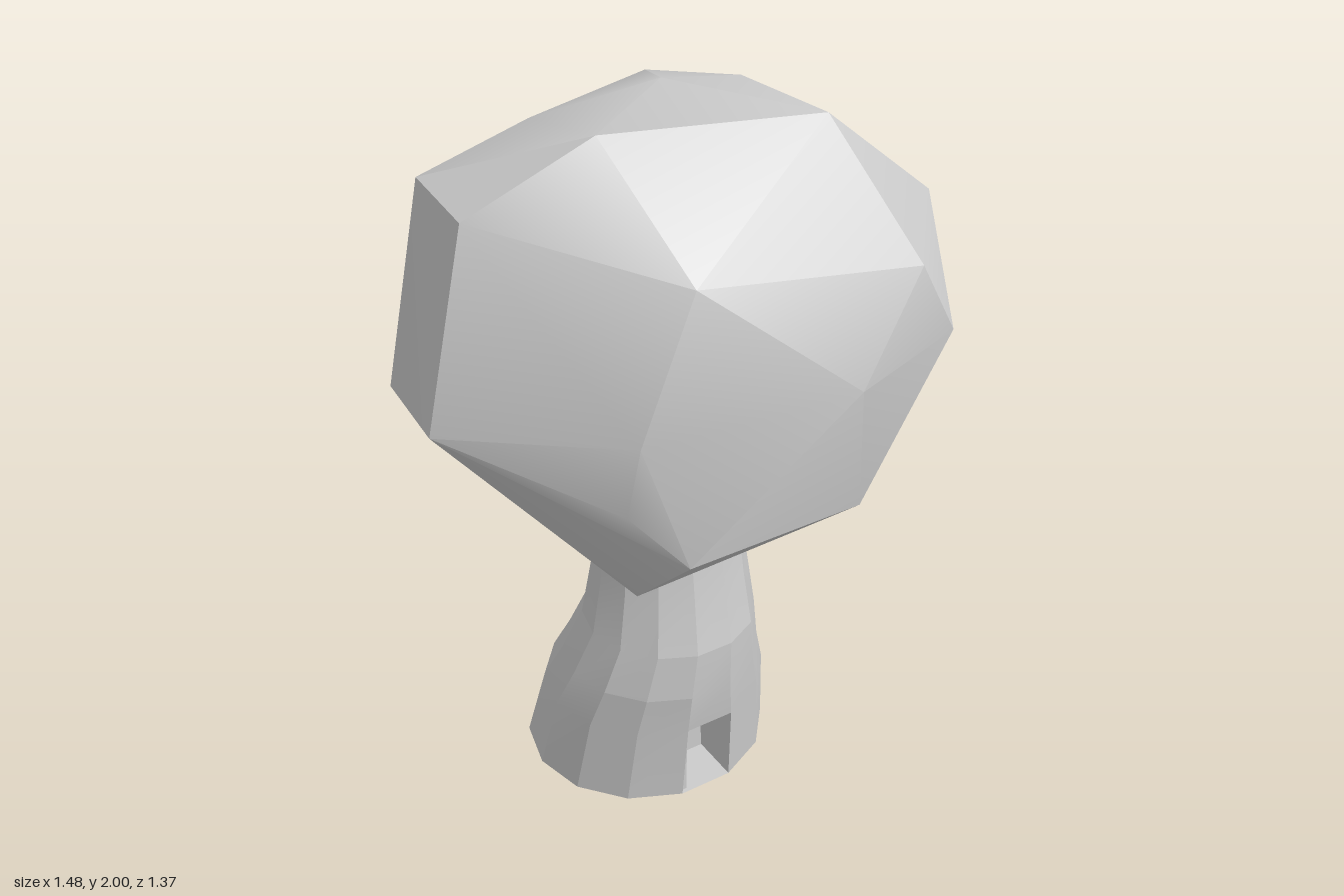
import * as THREE from 'three';
import { ConvexGeometry } from 'three/addons/geometries/ConvexGeometry.js';
import { toCreasedNormals } from 'three/addons/utils/BufferGeometryUtils.js';

const material = new THREE.MeshStandardMaterial({ color: 0xcccccc });
const V = (x, y, z) => new THREE.Vector3(x, y, z);

function part(name, geometry, crease = 0.15) {
  const mesh = new THREE.Mesh(toCreasedNormals(geometry, crease), material);
  mesh.name = name;
  return mesh;
}

// Skin a list of equal-length rings; skip(band, segment) leaves a hole.
function loft(rings, capStart, capEnd, skip = () => false) {
  const pos = [];
  const tri = (...pts) => pts.forEach((p) => pos.push(p.x, p.y, p.z));
  const n = rings[0].length;
  for (let b = 0; b < rings.length - 1; b++) {
    for (let i = 0; i < n; i++) {
      if (skip(b, i)) continue;
      const j = (i + 1) % n, p = rings[b], q = rings[b + 1];
      tri(p[i], p[j], q[j]);
      tri(p[i], q[j], q[i]);
    }
  }
  const last = rings[rings.length - 1];
  for (let i = 1; i < n - 1; i++) {
    if (capStart) tri(rings[0][0], rings[0][i + 1], rings[0][i]);
    if (capEnd) tri(last[0], last[i], last[i + 1]);
  }
  const g = new THREE.BufferGeometry();
  g.setAttribute('position', new THREE.Float32BufferAttribute(pos, 3));
  return g;
}

// Faceted foliage: convex hull of a few corner points.
const foliage = (name, pts) =>
  part(name, new ConvexGeometry(pts.map((p) => V(...p))), 0.5);

export function createModel() {
  const tree = new THREE.Group();
  tree.name = 'treeHouse';

  // Leaning trunk: y, centre x, centre z, radius x, radius z
  const SIDES = 14;
  const trunkRings = [
    [0, -0.025, -0.035, 0.353, 0.336],
    [0.25, -0.03, 0.02, 0.319, 0.302],
    [0.38, -0.04, 0.07, 0.278, 0.27],
    [0.52, -0.033, 0.102, 0.24, 0.238],
    [0.68, -0.028, 0.097, 0.215, 0.207],
    [0.82, -0.03, 0.09, 0.203, 0.195],
    [0.95, -0.03, 0.08, 0.2, 0.19],
  ].map(([y, cx, cz, rx, rz]) =>
    Array.from({ length: SIDES }, (_, i) => {
      const a = ((i - 0.5) / SIDES) * Math.PI * 2;
      return V(cx + rx * Math.sin(a), y, cz + rz * Math.cos(a));
    }));
  tree.add(part('trunk', loft(trunkRings, true, true, (b, i) => b === 0 && i === 0)));

  // Recess behind the doorway opening
  const opening = [trunkRings[0][0], trunkRings[0][1], trunkRings[1][1], trunkRings[1][0]];
  const back = opening.map((p) => V(p.x, p.y, 0.15));
  tree.add(part('doorwayRecess', loft([opening, back], false, true)));

  // Door leaf standing open against the recess wall
  const door = new THREE.Group();
  door.name = 'openDoor';
  const leaf = part('doorLeaf', new THREE.BoxGeometry(0.013, 0.235, 0.12));
  leaf.position.set(-0.09, 0.12, 0.222);
  const knob = part('doorKnob', new THREE.SphereGeometry(0.007, 8, 6), 1);
  knob.position.set(-0.079, 0.12, 0.185);
  door.add(leaf, knob);
  tree.add(door);

  // Bent square branch: x, y, z, half thickness, half depth, slope angle
  const branchRings = [
    [0.1, 0.685, 0.055, 0.04, 0.05, 0.3],
    [0.24, 0.74, 0.035, 0.035, 0.048, 0.75],
    [0.305, 0.9, -0.05, 0.025, 0.042, 1.15],
    [0.36, 1.02, -0.1, 0.025, 0.04, 1.15],
  ].map(([x, y, z, t, d, a]) => {
    const nx = -Math.sin(a) * t, ny = Math.cos(a) * t;
    return [[1, 1], [-1, 1], [-1, -1], [1, -1]].map(([s, k]) =>
      V(x + nx * s, y + ny * s, z + d * k));
  });
  tree.add(part('branch', loft(branchRings, true, true)));

  // Main crown
  tree.add(foliage('crown', [
    // front and right-hand flank
    [-0.74, 1.345, 0.214], [-0.61, 1.82, 0.17], [-0.31, 1.98, 0.24],
    [0.245, 1.955, 0.333], [0.552, 1.71, 0.353], [0.337, 1.656, 0.597],
    [0.48, 1.44, 0.565], [0.115, 1.434, 0.683], [0.2, 1.053, 0.6],
    [-0.283, 1.04, 0.59], [-0.39, 1.375, 0.55], [-0.405, 1.18, 0.515],
    [-0.25, 1.725, 0.55],
    // top and back
    [-0.02, 2.0, 0.04], [0.13, 1.905, -0.275], [0.27, 1.93, -0.05],
    [0.4, 1.71, -0.3], [-0.28, 1.9, -0.13], [-0.58, 1.82, -0.12],
    [-0.47, 1.66, -0.29], [-0.675, 1.28, -0.163], [-0.385, 1.36, -0.46],
    [0.115, 1.57, -0.575], [0.31, 1.38, -0.547], [-0.055, 1.285, -0.665],
    [0.02, 1.095, -0.685], [0.377, 1.07, -0.45],
    // left-hand flank and underside
    [0.56, 1.45, -0.06], [0.53, 1.3, 0.2], [0.36, 0.97, 0.1],
    [-0.61, 1.17, -0.02], [-0.4, 0.92, 0.05], [-0.27, 0.79, 0.33],
    [-0.19, 0.75, -0.1], [0.13, 0.81, 0.3], [0.16, 0.82, -0.1],
    [0.2, 0.93, -0.44], [-0.18, 0.915, -0.476],
  ]));

  // Smaller side crown
  tree.add(foliage('sideCrown', [
    [0.43, 1.59, -0.25], [0.587, 1.47, -0.246], [0.5, 1.5, 0.03],
    [0.706, 1.32, -0.04], [0.738, 1.1, 0.05], [0.734, 1.09, -0.234],
    [0.71, 0.925, -0.1], [0.53, 0.91, -0.41], [0.57, 1.34, -0.41],
    [0.56, 1.12, -0.43], [0.38, 1.12, -0.46], [0.4, 1.4, -0.42],
    [0.553, 0.83, -0.217], [0.4, 0.815, -0.2], [0.5, 0.85, 0.02],
    [0.315, 0.88, 0], [0.567, 1.1, 0.246], [0.48, 1.21, 0.34],
    [0.5, 1.34, 0.28], [0.25, 1.2, 0],
  ]));

  return tree;
}
